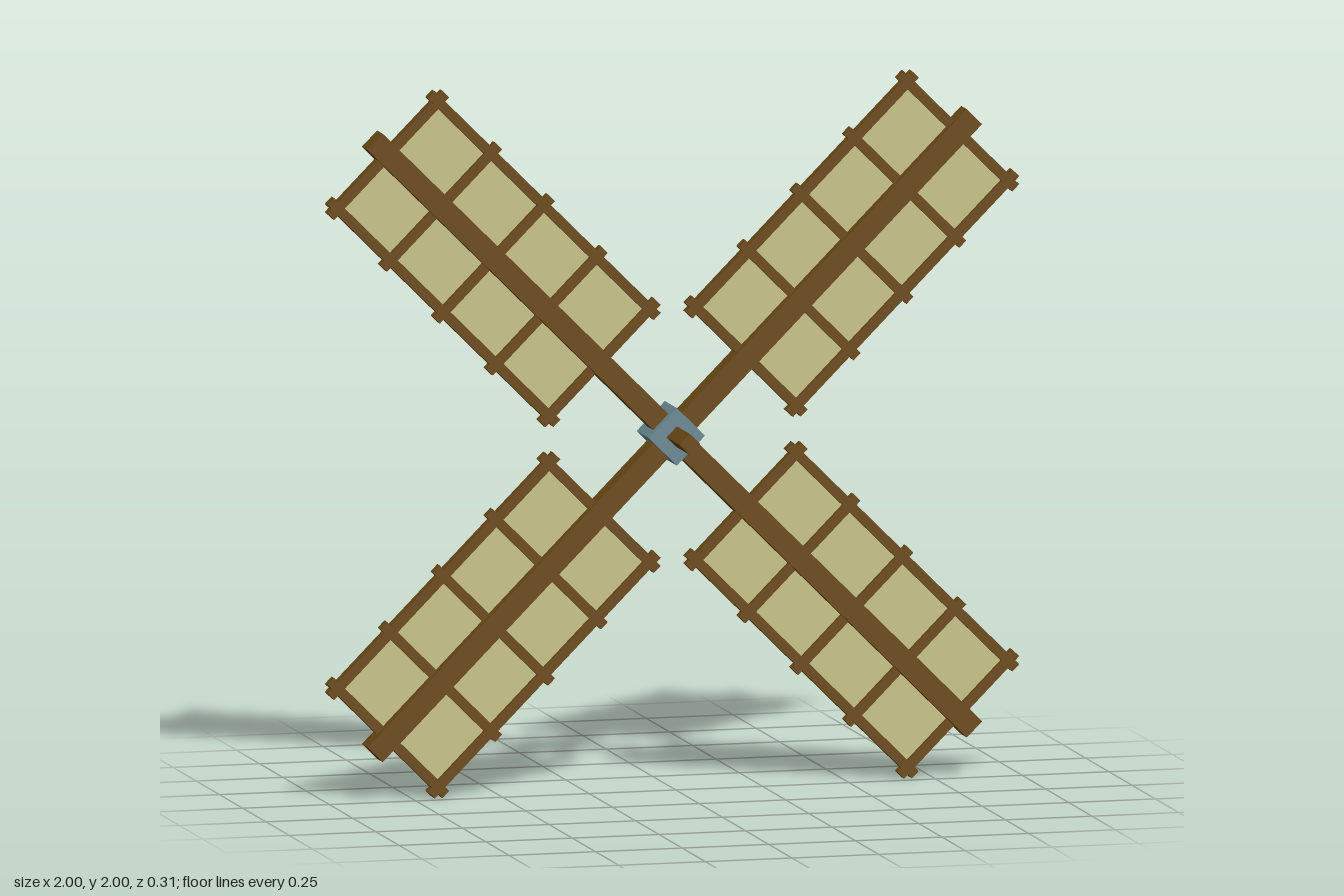
import * as THREE from 'three';

const wood = new THREE.MeshStandardMaterial({ color: 0x6b4a14 });
const canvas = new THREE.MeshStandardMaterial({ color: 0xc8c48a, side: THREE.DoubleSide });
const metal = new THREE.MeshStandardMaterial({ color: 0x6b8a94 });

const PLANE_Z = -0.041; // depth of the sail plane
const INNER = 0.3, OUTER = 1.163; // sail frame, distances from the hub
const HALF = 0.205; // half width of the sail frame
const STICK = 0.028, OVERHANG = 0.03;

function box(name, material, w, h, d, x = 0, y = 0, z = 0) {
  const mesh = new THREE.Mesh(new THREE.BoxGeometry(w, h, d), material);
  mesh.name = name;
  mesh.position.set(x, y, z);
  return mesh;
}

// One sail, pointing along +x
function createSail() {
  const sail = new THREE.Group();
  sail.name = 'sail';
  const length = OUTER - INNER, middle = (OUTER + INNER) / 2;

  const cloth = new THREE.Mesh(new THREE.PlaneGeometry(length, HALF * 2), canvas);
  cloth.name = 'sailCloth';
  cloth.position.x = middle;
  sail.add(cloth);

  // Long edge rails
  for (const side of [-1, 1]) {
    sail.add(box('edgeRail', wood, length + OVERHANG * 2, STICK, STICK, middle, side * HALF));
  }
  // Cross bars
  for (let i = 0; i < 5; i++) {
    const x = INNER + (length * i) / 4;
    sail.add(box('crossBar', wood, STICK, (HALF + OVERHANG) * 2, STICK * 0.96, x));
  }
  return sail;
}

export function createModel() {
  const model = new THREE.Group();
  model.name = 'windmillSails';

  // Everything turns about the hub, set on the diagonal
  const rotor = new THREE.Group();
  rotor.name = 'rotor';
  rotor.position.y = 1;
  rotor.rotation.z = Math.PI / 4;
  model.add(rotor);

  for (let i = 0; i < 4; i++) {
    const sail = createSail();
    sail.position.z = PLANE_Z;
    sail.rotation.z = (i * Math.PI) / 2;
    rotor.add(sail);
  }

  // Two crossing main beams
  rotor.add(box('mainBeam', wood, 2.446, 0.062, 0.062, 0, 0, PLANE_Z));
  rotor.add(box('mainBeam', wood, 0.062, 2.446, 0.062, 0, 0, PLANE_Z));

  // Hub block and axle
  rotor.add(box('hub', metal, 0.115, 0.115, 0.13, 0, 0, -0.053));
  rotor.add(box('axle', wood, 0.042, 0.042, 0.305));

  return model;
}
